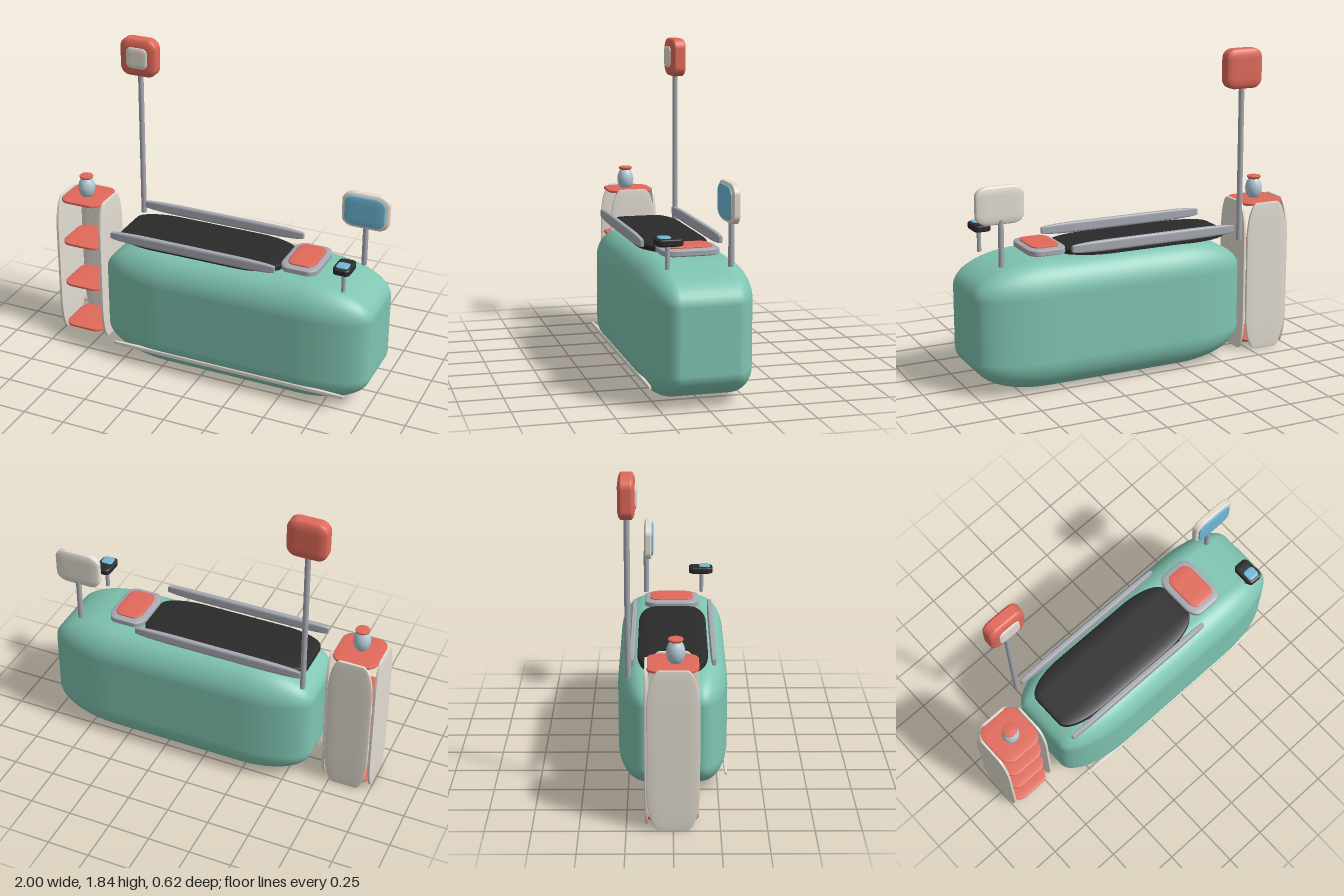
import * as THREE from 'three';
import { RoundedBoxGeometry } from 'three/addons/geometries/RoundedBoxGeometry.js';

const mat = (color) => new THREE.MeshStandardMaterial({ color });

export function createModel() {
  const model = new THREE.Group();
  const teal = mat(0x7fc4b1), coral = mat(0xe0695a), black = mat(0x2a2a2a);
  const cream = mat(0xe3ddd2), steel = mat(0xa6a9b2), blue = mat(0x70b8d8), glass = mat(0xb4cad6);

  // A softly rounded unit block, stretched to fit each part
  const softBlock = new RoundedBoxGeometry(1, 1, 1, 7, 0.25);

  function block(name, material, [x0, x1], [y0, y1], [z0, z1], parent = model) {
    const m = new THREE.Mesh(softBlock, material);
    m.name = name;
    m.scale.set(x1 - x0, y1 - y0, z1 - z0);
    m.position.set((x0 + x1) / 2, (y0 + y1) / 2, (z0 + z1) / 2);
    parent.add(m);
    return m;
  }

  function post(name, x, z, y0, y1, r, parent = model) {
    const m = new THREE.Mesh(new THREE.CylinderGeometry(r, r, y1 - y0, 24), steel);
    m.name = name;
    m.position.set(x, (y0 + y1) / 2, z);
    parent.add(m);
  }

  function group(name) {
    const g = new THREE.Group();
    g.name = name;
    model.add(g);
    return g;
  }

  // Main body with its trim strip
  block('body', teal, [-0.64, 1], [0.008, 0.736], [-0.308, 0.308]);
  block('trimStrip', cream, [-0.545, 0.9], [0.103, 0.131], [0.284, 0.305]);

  // Padded top and side rails
  block('mat', black, [-0.575, 0.435], [0.715, 0.777], [-0.195, 0.195]);
  for (const [name, z] of [['frontRail', 0.222], ['backRail', -0.222]])
    block(name, steel, [-0.58, 0.44], [0.76, 0.822], [z - 0.016, z + 0.016]);

  // Raised headrest plate
  const headrest = group('headrest');
  block('headrestBase', steel, [0.432, 0.658], [0.745, 0.792], [-0.165, 0.16], headrest);
  block('headrestPad', coral, [0.465, 0.63], [0.775, 0.802], [-0.13, 0.125], headrest);

  // Display on a post
  const display = group('display');
  post('displayPost', 0.832, -0.16, 0.725, 0.99, 0.016, display);
  block('displayFrame', cream, [0.695, 0.972], [0.963, 1.175], [-0.173, -0.122], display);
  block('displayScreen', blue, [0.714, 0.95], [0.982, 1.158], [-0.137, -0.114], display);

  // Small control pad
  const control = group('controlPad');
  post('controlPost', 0.832, 0.185, 0.725, 0.87, 0.012, control);
  block('controlBody', black, [0.782, 0.882], [0.85, 0.895], [0.106, 0.253], control);
  block('controlScreen', blue, [0.797, 0.867], [0.882, 0.902], [0.17, 0.237], control);

  // Tall lamp
  const lamp = group('lamp');
  post('lampPole', -0.603, -0.242, 0.725, 1.66, 0.016, lamp);
  block('lampHead', coral, [-0.717, -0.489], [1.612, 1.838], [-0.288, -0.196], lamp);
  block('lampPanel', cream, [-0.67, -0.537], [1.664, 1.79], [-0.212, -0.186], lamp);

  // Open shelf unit
  const shelf = group('shelfUnit');
  for (const [name, x] of [['shelfRightSide', -0.988], ['shelfLeftSide', -0.707]])
    block(name, cream, [x - 0.012, x + 0.012], [0, 0.905], [-0.14, 0.14], shelf);
  block('shelfBack', cream, [-0.978, -0.717], [0.004, 0.9], [-0.155, -0.13], shelf);
  for (const y of [0.05, 0.333, 0.611, 0.89])
    block('shelfBoard', coral, [-0.978, -0.717], [y - 0.011, y + 0.011], [-0.142, 0.135], shelf);

  // Jar standing on the shelf
  const jar = group('jar');
  jar.position.set(-0.848, 0.9, 0.013);
  const lathe = (name, points, material) => {
    const m = new THREE.Mesh(new THREE.LatheGeometry(points, 32), material);
    m.name = name;
    jar.add(m);
  };
  const jarSide = new THREE.SplineCurve([[0.031, 0], [0.044, 0.022], [0.05, 0.055], [0.044, 0.088], [0.03, 0.115]]
    .map(([x, y]) => new THREE.Vector2(x, y))).getPoints(20);
  lathe('jarBody', [new THREE.Vector2(0, 0), ...jarSide, new THREE.Vector2(0, 0.115)], glass);
  lathe('jarLid', [[0, 0.11], [0.028, 0.11], [0.039, 0.119], [0.041, 0.126], [0.038, 0.131], [0, 0.132]]
    .map(([x, y]) => new THREE.Vector2(x, y)), coral);

  return model;
}
